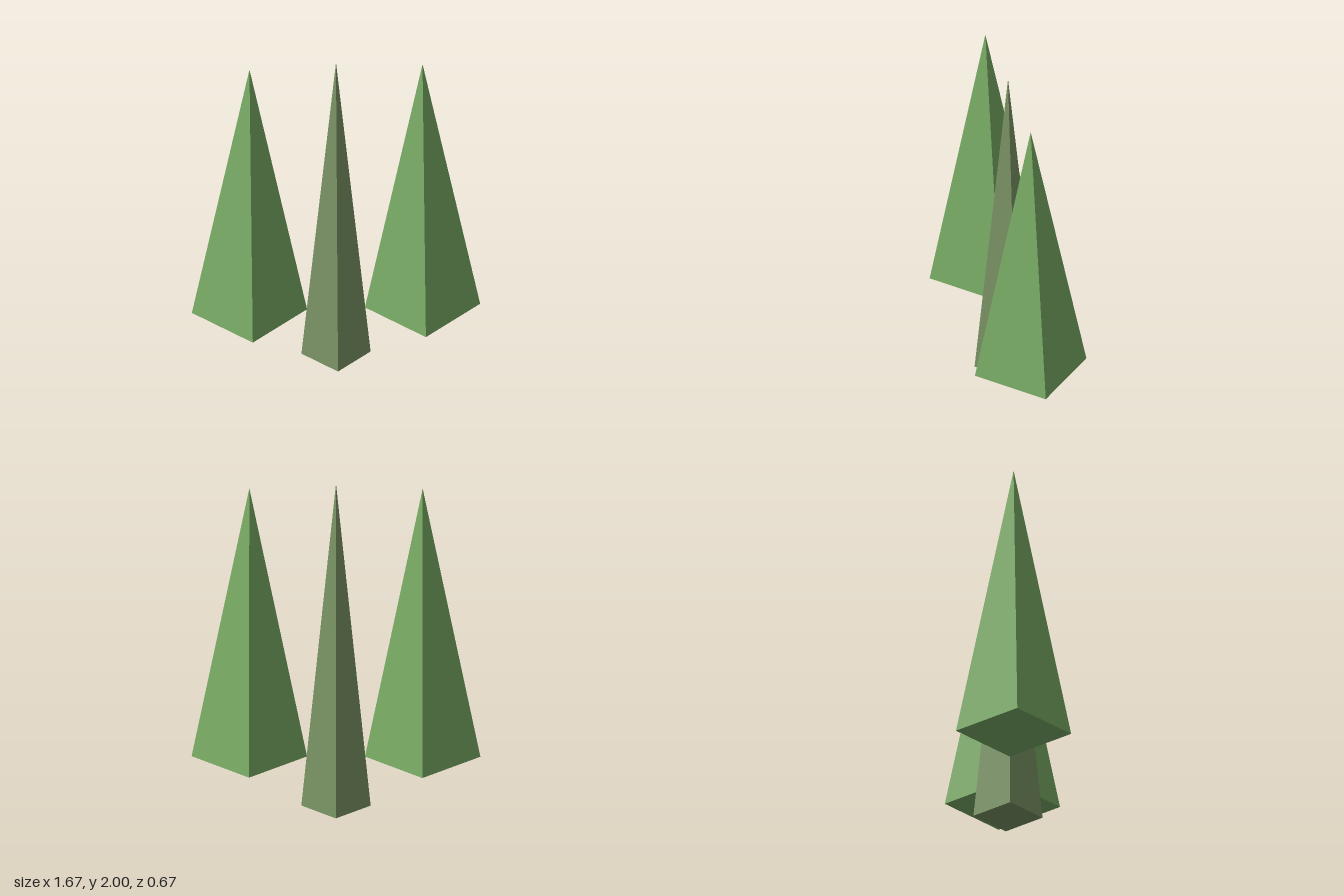
import * as THREE from 'three';

export function createModel() {
  const model = new THREE.Group();

  const leafGreen = new THREE.MeshStandardMaterial({ color: 0x79ab65, flatShading: true });
  leafGreen.name = 'leafGreen';
  const trunkOlive = new THREE.MeshStandardMaterial({ color: 0x7a9364, flatShading: true });
  trunkOlive.name = 'trunkOlive';

  // Four-sided spire with its corners on the x and z axes
  function spire(name, material, radius, bottom, top, x) {
    const height = top - bottom;
    const mesh = new THREE.Mesh(new THREE.ConeGeometry(radius, height, 4), material);
    mesh.name = name;
    mesh.position.set(x, bottom + height / 2, 0);
    model.add(mesh);
  }

  // Slim central trunk standing on the ground
  spire('trunk', trunkOlive, 0.2, 0, 2, 0);

  // Pair of raised foliage spires touching the trunk
  spire('leftFoliage', leafGreen, 0.333, 0.305, 1.97, 0.5);
  spire('rightFoliage', leafGreen, 0.333, 0.305, 1.97, -0.5);

  return model;
}
